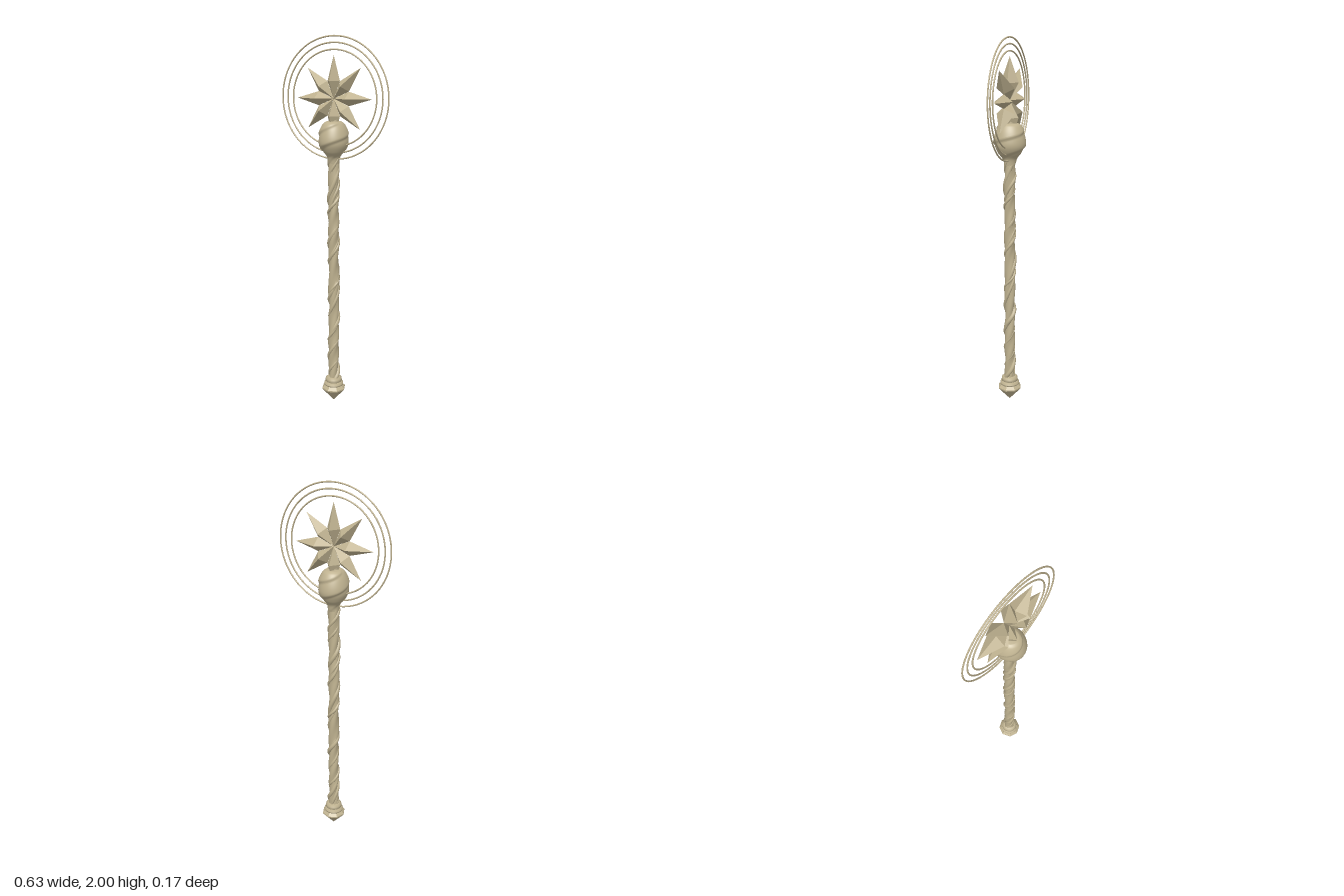
import * as THREE from 'three';
import { mergeVertices } from 'three/addons/utils/BufferGeometryUtils.js';

const HEAD_Y = 1.688;
const V = (pts) => pts.map(([r, y]) => new THREE.Vector2(r, y));

// Lathe with hard facets
function facetedLathe(pts, sides) {
  const g = new THREE.LatheGeometry(V(pts), sides).toNonIndexed();
  g.computeVertexNormals();
  return g;
}

// Smooth lathe whose radius is multiplied by rule(angle, y)
function carvedLathe(points, sides, rule) {
  let g = new THREE.LatheGeometry(points, sides);
  const p = g.attributes.position;
  for (let i = 0; i < p.count; i++) {
    const k = rule(Math.atan2(p.getX(i), p.getZ(i)), p.getY(i));
    p.setX(i, p.getX(i) * k);
    p.setZ(i, p.getZ(i) * k);
  }
  g.deleteAttribute('uv');
  g.deleteAttribute('normal');
  g = mergeVertices(g, 1e-5);
  g.computeVertexNormals();
  return g;
}

// Helical strand climbing the shaft, with a wandering pitch
class Strand extends THREE.Curve {
  constructor(phase, turns, radius) {
    super();
    Object.assign(this, { phase, turns, radius });
  }
  getPoint(t, target = new THREE.Vector3()) {
    const a = this.phase + t * this.turns * Math.PI * 2 + 0.5 * Math.sin(t * 17 + this.phase);
    const r = this.radius + 0.003 * Math.sin(t * 23 + this.phase * 2);
    return target.set(r * Math.sin(a), 0.13 + t * 1.26, r * Math.cos(a));
  }
}

export function createModel() {
  const group = new THREE.Group();
  const wood = new THREE.MeshStandardMaterial({ color: 0xbfb290 });
  wood.name = 'pale wood';
  const add = (name, geometry, parent = group) => {
    const m = new THREE.Mesh(geometry, wood);
    m.name = name;
    parent.add(m);
    return m;
  };

  // Shaft core with shallow twisted grooves
  const core = [];
  for (let i = 0; i <= 120; i++) core.push(new THREE.Vector2(0.027, 0.12 + (i / 120) * 1.28));
  add('shaft', carvedLathe(core, 24, (a, y) =>
    1 + 0.1 * Math.sin(3 * a - y * 40 + Math.sin(y * 9)) + 0.04 * Math.sin(y * 21)));

  // Strands wound around the shaft
  [[0.4, 4.5, 0.022, 0.012], [2.6, 4.5, 0.023, 0.009], [4.5, 5.5, 0.024, 0.008]].forEach(
    ([phase, turns, radius, thick], i) =>
      add('strand' + (i + 1), new THREE.TubeGeometry(new Strand(phase, turns, radius), 160, thick, 8)));

  // Pommel: faceted point with two collars
  add('pommel', facetedLathe([[0, 0], [0.066, 0.075], [0.066, 0.082], [0.045, 0.103], [0, 0.105]], 8));
  add('lowerCollar', new THREE.LatheGeometry(
    V([[0.04, 0.095], [0.053, 0.1], [0.054, 0.108], [0.044, 0.12], [0, 0.121]]), 24));
  add('upperCollar', new THREE.LatheGeometry(
    V([[0.036, 0.115], [0.046, 0.122], [0.045, 0.138], [0.034, 0.147], [0, 0.15]]), 24));

  // Bulb wrapped in overlapping spiral folds
  const outline = new THREE.SplineCurve(V([[0.03, 1.355], [0.038, 1.39], [0.062, 1.42], [0.081, 1.455],
    [0.084, 1.49], [0.076, 1.53], [0.061, 1.56], [0.045, 1.572]])).getPoints(60);
  outline.push(new THREE.Vector2(0.02, 1.575), new THREE.Vector2(0, 1.575));
  const bulb = add('bulb', carvedLathe(outline, 64, (a, y) => {
    const s = (2 * a - (y - 1.36) * 75 + 0.5 * Math.sin(a + 1)) / (Math.PI * 2);
    const f = s - Math.floor(s);
    return 0.94 + 0.11 * Math.min(f, (1 - f) * 5);
  }));
  bulb.scale.x = 0.93;

  // Short neck joining the bulb to the star
  add('neck', new THREE.CylinderGeometry(0.022, 0.028, 0.05, 12)).position.y = 1.585;

  // Eight-pointed star of four-sided spikes
  const star = new THREE.Group();
  star.name = 'star';
  star.position.y = HEAD_Y;
  group.add(star);
  const spike = new THREE.LatheGeometry(V([[0, 0], [1, 0.088], [0, 0.216]]), 4)
    .scale(0.036, 1, 0.048).toNonIndexed();
  spike.computeVertexNormals();
  for (let i = 0; i < 8; i++) add('spike' + (i + 1), spike, star).rotation.z = (i * Math.PI) / 4;

  // Three concentric halo rings
  [0.309, 0.277, 0.243].forEach((r, i) => {
    add('haloRing' + (i + 1), new THREE.TorusGeometry(r, 0.004, 8, 72)).position.y = HEAD_Y;
  });
  return group;
}
